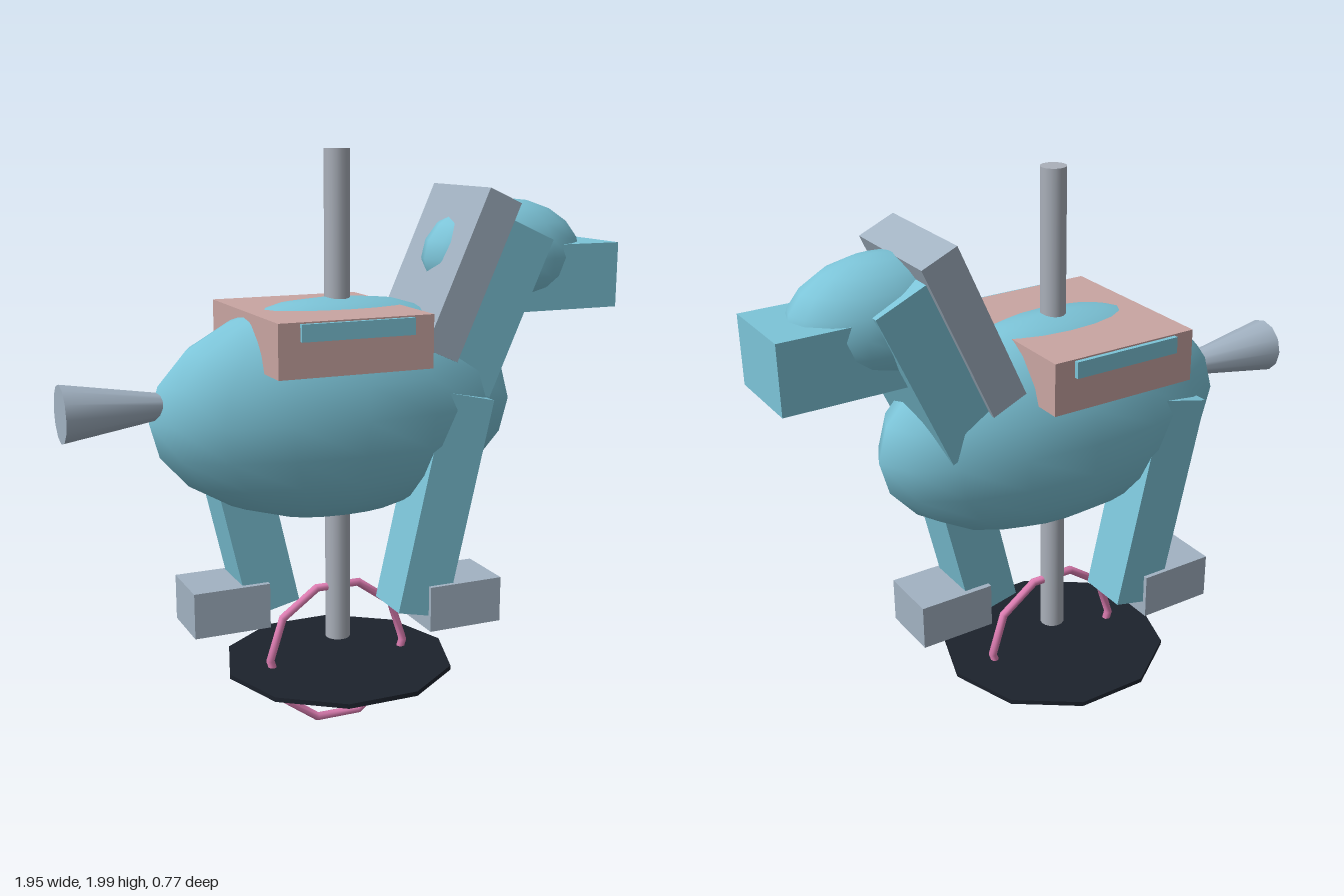
import * as THREE from 'three';

const mat = (color) => new THREE.MeshStandardMaterial({ color });
const BLUE = mat(0x7cc4d8), GREY = mat(0xa2b2c2), ROSE = mat(0xc9a5a2);
const STEEL = mat(0xaab0ba), PINK = mat(0xe07fb4), DARK = mat(0x1c222c);
const CX = -0.04; // x of the pole, body and base

export function createModel() {
  const model = new THREE.Group();

  const add = (name, geometry, material, x, y, z = 0) => {
    const mesh = new THREE.Mesh(geometry, material);
    mesh.name = name;
    mesh.position.set(x, y, z);
    model.add(mesh);
    return mesh;
  };
  const box = (name, material, w, h, d, x, y, z = 0, tilt = 0) => {
    const mesh = add(name, new THREE.BoxGeometry(w, h, d), material, x, y, z);
    mesh.rotation.z = THREE.MathUtils.degToRad(tilt);
    return mesh;
  };
  const ellipsoid = (name, rx, ry, rz, x, y) =>
    add(name, new THREE.SphereGeometry(1, 16, 10).scale(rx, ry, rz), BLUE, x, y);

  // Body, neck and head, facing +x
  ellipsoid('body', 0.655, 0.378, 0.27, CX, 1.147);
  box('neck', BLUE, 0.22, 0.575, 0.36, 0.463, 1.478, 0, -24);
  box('mane', GREY, 0.13, 0.565, 0.4, 0.365, 1.59, 0, -24);
  ellipsoid('head', 0.3, 0.2, 0.18, 0.583, 1.63);
  box('muzzle', BLUE, 0.4, 0.225, 0.285, 0.77, 1.5625);

  // Flared tail, wide end pointing backwards
  const tail = add('tail', new THREE.CylinderGeometry(0.095, 0.03, 0.4, 12), GREY, -0.775, 1.2);
  tail.rotation.z = Math.PI / 2;

  // Saddle with a bar showing through both sides
  box('saddle', ROSE, 0.53, 0.175, 0.63, -0.105, 1.4025);
  box('saddleBar', BLUE, 0.385, 0.055, 0.66, -0.105, 1.4575);

  // One front leg on +z and one rear leg on -z, mirrored about the pole
  for (const [name, s] of [['front', 1], ['rear', -1]]) {
    box(name + 'Leg', BLUE, 0.185, 0.77, 0.185, CX + s * 0.305, 0.815, s * 0.132, -s * 12.8);
    box(name + 'Hoof', GREY, 0.272, 0.16, 0.22, CX + s * 0.38, 0.46, s * 0.13);
  }

  // Pole
  add('pole', new THREE.CylinderGeometry(0.043, 0.043, 1.68, 16), STEEL, CX, 1.16);

  // Ten-sided base disc and upright ring
  const disc = add('baseDisc', new THREE.CylinderGeometry(0.403, 0.403, 0.016, 10), DARK, CX, 0.233);
  disc.rotation.y = Math.PI / 2;
  add('ring', new THREE.TorusGeometry(0.255, 0.015, 8, 10), PINK, CX, 0.265);

  return model;
}
